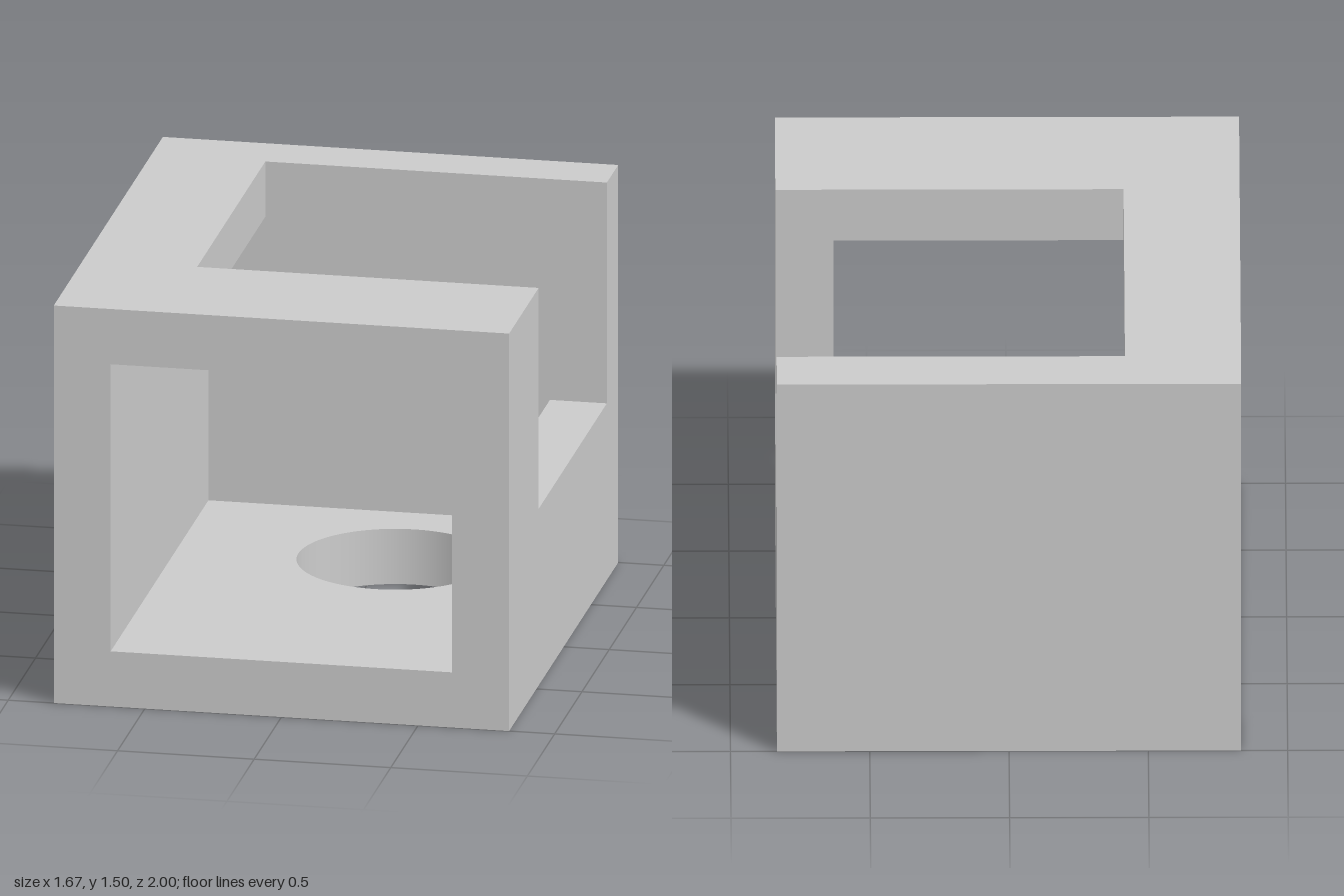
import * as THREE from 'three';

// Dimensions in grid units of 1/24
const U = 1 / 24;
const W = 20, H = 36, D = 24, T = 5;            // half width, height, half depth, wall
const IX = W - T, Y0 = T, Y1 = H - T, ZB = T - D; // cavity limits
const NX = -10, NY = 16, NZ = 11;               // corner cut-out limits
const HOLE = { x: 4, z: -6, r: 8.5 };           // drain hole in the floor

const rect = (a, b, c, d) => [[a, b], [c, b], [c, d], [a, d]];
const circle = () => new THREE.Path().absarc(HOLE.x, HOLE.z, HOLE.r, 0, Math.PI * 2, true);

// Planar panel: outline is (z,y) for axis x, (x,z) for axis y, (x,y) for axis z
function panel(axis, at, facing, outline, hole) {
  const shape = new THREE.Shape(outline.map(p => new THREE.Vector2(...p)));
  if (hole) shape.holes.push(hole);
  const geo = new THREE.ShapeGeometry(shape, 48);
  const pos = geo.attributes.position;
  for (let i = 0; i < pos.count; i++) {
    const u = pos.getX(i), v = pos.getY(i);
    const p = axis === 'x' ? [at, v, u] : axis === 'y' ? [u, at, v] : [u, v, at];
    pos.setXYZ(i, ...p.map(n => n * U));
  }
  // Reverse the winding where the panel faces the other way
  if (facing !== (axis === 'z' ? 1 : -1)) geo.index.array.reverse();
  geo.computeVertexNormals();
  return geo;
}

export function createModel() {
  const model = new THREE.Group();
  model.name = 'openBoxHousing';
  const material = new THREE.MeshStandardMaterial({ color: 0xcccccc });
  const add = (name, geo, mat = material) => {
    const mesh = new THREE.Mesh(geo, mat);
    mesh.name = name;
    model.add(mesh);
    return mesh;
  };

  // Outer shell
  const opening = new THREE.Path(rect(-IX, Y0, IX, Y1).map(p => new THREE.Vector2(...p)));
  add('frontFrame', panel('z', D, 1, rect(-W, 0, W, H), opening));
  add('backOuter', panel('z', -D, -1, rect(-W, 0, W, H)));
  add('rightOuter', panel('x', -W, -1, rect(-D, 0, D, H)));
  add('leftOuter', panel('x', W, 1,
    [[-D, 0], [D, 0], [D, H], [NZ, H], [NZ, NY], [ZB, NY], [ZB, H], [-D, H]]));
  add('underside', panel('y', 0, -1, rect(-W, -D, W, D), circle()));
  add('roofTop', panel('y', H, 1,
    [[-W, -D], [W, -D], [W, ZB], [NX, ZB], [NX, NZ], [W, NZ], [W, D], [-W, D]]));

  // Cavity
  add('floor', panel('y', Y0, 1, rect(-IX, ZB, IX, D), circle()));
  add('ceiling', panel('y', Y1, -1,
    [[-IX, ZB], [NX, ZB], [NX, NZ], [IX, NZ], [IX, D], [-IX, D]]));
  add('rightInner', panel('x', -IX, 1, rect(ZB, Y0, D, Y1)));
  add('leftInner', panel('x', IX, -1,
    [[ZB, Y0], [D, Y0], [D, Y1], [NZ, Y1], [NZ, NY], [ZB, NY]]));
  add('backInner', panel('z', ZB, 1,
    [[-IX, Y0], [IX, Y0], [IX, NY], [W, NY], [W, H], [NX, H], [NX, Y1], [-IX, Y1]]));

  // Edges of the cut-out through roof and side wall
  add('cutoutFrontEdge', panel('z', NZ, -1,
    [[IX, NY], [W, NY], [W, H], [NX, H], [NX, Y1], [IX, Y1]]));
  add('cutoutRoofEdge', panel('x', NX, 1, rect(ZB, Y1, NZ, H)));
  add('cutoutSill', panel('y', NY, 1, rect(IX, ZB, W, NZ)));

  // Round hole wall, seen from inside
  const bore = add('floorHoleWall',
    new THREE.CylinderGeometry(HOLE.r * U, HOLE.r * U, T * U, 96, 1, true),
    new THREE.MeshStandardMaterial({ color: 0xcccccc, side: THREE.DoubleSide }));
  bore.position.set(HOLE.x * U, T * U / 2, HOLE.z * U);

  return model;
}
